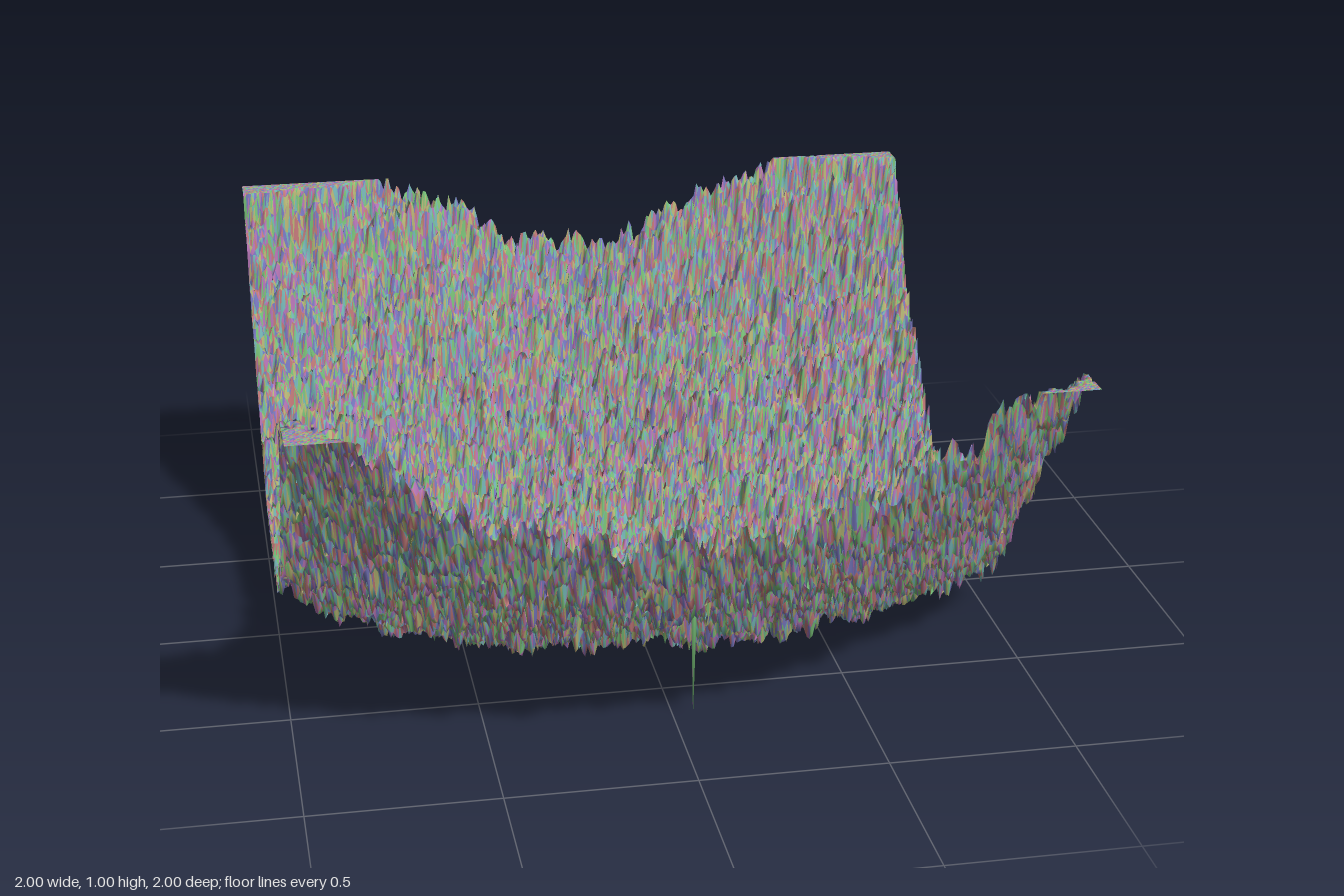
import * as THREE from 'three';

const SEGMENTS = 255;

// Seeded lattice value in -1..1
function hash(i, j, seed) {
  let h = Math.imul(i + 1013, 374761393) ^ Math.imul(j + 2027, 668265263) ^ Math.imul(seed, 974634777);
  h = Math.imul(h ^ (h >>> 13), 1274126177);
  h = Math.imul(h ^ (h >>> 16), 2246822519);
  return ((h ^ (h >>> 15)) >>> 0) / 2147483648 - 1;
}

// Smooth value noise
function noise(x, z, seed) {
  const i = Math.floor(x), j = Math.floor(z);
  const ease = (t) => t * t * (3 - 2 * t);
  const u = ease(x - i), v = ease(z - j);
  const { lerp } = THREE.MathUtils;
  return lerp(
    lerp(hash(i, j, seed), hash(i + 1, j, seed), u),
    lerp(hash(i, j + 1, seed), hash(i + 1, j + 1, seed), u), v);
}

// Linear interpolation through [position, value] pairs
function profile(points, t) {
  if (t <= points[0][0]) return points[0][1];
  for (let k = 1; k < points.length; k++) {
    const [a, va] = points[k - 1], [b, vb] = points[k];
    if (t <= b) return va + (vb - va) * (t - a) / (b - a);
  }
  return points[points.length - 1][1];
}

// From back to front: height of the valley floor, rise of its sides, and how late they rise
const FLOOR = [[-1, 0.72], [-0.9, 0.57], [-0.8, 0.44], [-0.6, 0.22], [-0.45, 0.08], [-0.34, 0],
  [-0.25, -0.05], [0.08, -0.05], [0.18, 0.01], [0.3, 0.08], [0.4, 0.14], [0.6, 0.27], [0.75, 0.38], [0.9, 0.5], [1, 0.66]];
const SIDES = [[-1, 0.48], [-0.9, 0.36], [-0.75, 0.26], [-0.5, 0.2], [-0.3, 0.23], [0, 0.23], [0.3, 0.22],
  [0.6, 0.4], [0.75, 0.5], [1, 0.55]];
const CURVE = [[-1, 1], [-0.4, 2.4], [0, 3.2], [0.4, 2.6], [1, 2.1]];

function height(x, z) {
  const skewed = z - 0.07 * x * (1 - z * z);
  const late = profile(CURVE, z) + (x < 0 ? 0.8 * Math.max(0, z) : 0);
  const side = profile(SIDES, z) * Math.pow(Math.min(1, Math.abs(x - 0.03)), late);
  const rough = 0.04 * noise(x * 13, z * 26, 1) + 0.045 * noise(x * 46, z * 62, 2)
    + 0.025 * hash(Math.round((x + 1) * 127.5), Math.round((z + 1) * 127.5), 3);
  return THREE.MathUtils.clamp(profile(FLOOR, skewed) + side + rough, 0, 1);
}

export function createModel() {
  const group = new THREE.Group();
  group.name = 'terrain';

  // Square sheet raised into a rough, clipped basin
  const sheet = new THREE.PlaneGeometry(2, 2, SEGMENTS, SEGMENTS).rotateX(-Math.PI / 2);
  const pos = sheet.attributes.position;
  for (let i = 0; i < pos.count; i++) pos.setY(i, height(pos.getX(i), pos.getZ(i)));

  // One deep, narrow pit near the front
  const row = SEGMENTS + 1;
  const pit = Math.round((0.67 + 1) / 2 * SEGMENTS) * row + Math.round((0.05 + 1) / 2 * SEGMENTS);
  pos.setY(pit, 0);
  sheet.computeVertexNormals();

  // Speckled ground: triangles shared out among several colours
  const colors = [0xc07878, 0x78c078, 0x7878c0, 0xb4b474, 0x74b4b4, 0xb474b4];
  const buckets = colors.map(() => []);
  const index = sheet.index.array;
  for (let t = 0; t < index.length; t += 3) {
    const pick = Math.floor((hash(t, 7, 4) + 1) / 2 * colors.length);
    buckets[pick].push(index[t], index[t + 1], index[t + 2]);
  }
  colors.forEach((color, k) => {
    const geometry = new THREE.BufferGeometry();
    geometry.setAttribute('position', pos);
    geometry.setAttribute('normal', sheet.attributes.normal);
    geometry.setIndex(buckets[k]);
    const mesh = new THREE.Mesh(geometry, new THREE.MeshStandardMaterial({ color, side: THREE.DoubleSide }));
    mesh.name = `groundSpeckle${k + 1}`;
    group.add(mesh);
  });
  return group;
}
